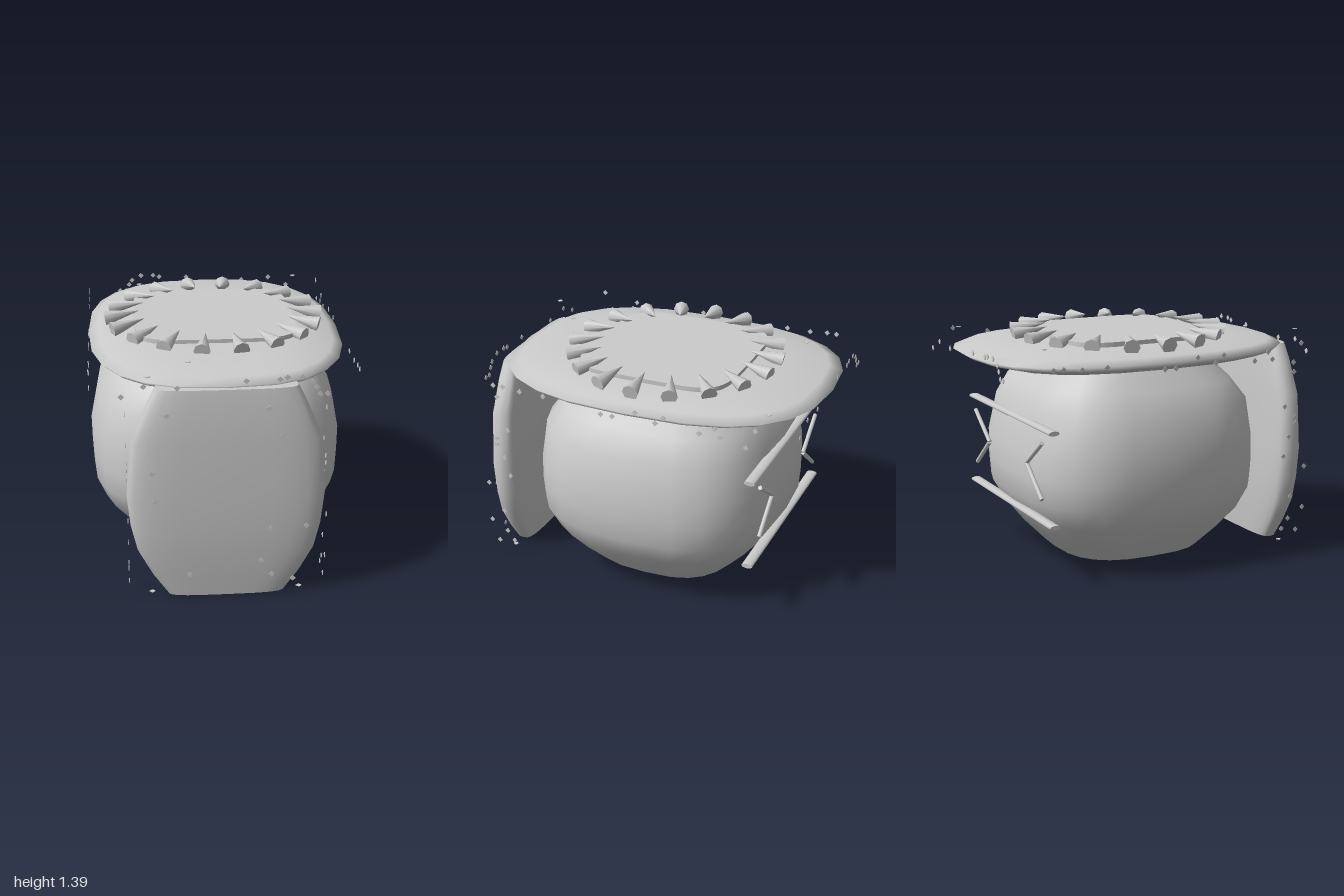
import * as THREE from 'three';

const grey = new THREE.MeshStandardMaterial({ color: 0xcccccc, side: THREE.DoubleSide });

function add(parent, name, geometry, x = 0, y = 0, z = 0) {
  const mesh = new THREE.Mesh(geometry, grey);
  mesh.name = name;
  mesh.position.set(x, y, z);
  parent.add(mesh);
  return mesh;
}

// Skin over superellipse rings [y, half width, back z, front z], with flat caps
function loft(rings, power, sides = 24) {
  const pos = [], index = [];
  const ringPoints = ([y, rx, z0, z1]) => {
    for (let j = 0; j < sides; j++) {
      const a = (j / sides) * Math.PI * 2, c = Math.cos(a), s = Math.sin(a);
      const x = Math.sign(c) * Math.abs(c) ** (2 / power);
      const z = Math.sign(s) * Math.abs(s) ** (2 / power);
      pos.push(x * rx, y, (z0 + z1) / 2 + (z * (z1 - z0)) / 2);
    }
  };
  rings.forEach(ringPoints);
  for (let i = 0; i < rings.length - 1; i++) {
    for (let j = 0; j < sides; j++) {
      const a = i * sides + j, b = i * sides + (j + 1) % sides;
      index.push(a, a + sides, b, b, a + sides, b + sides);
    }
  }
  // caps have their own vertices, so their edges stay sharp
  for (const [ring, top] of [[rings[0], false], [rings[rings.length - 1], true]]) {
    const start = pos.length / 3;
    ringPoints(ring);
    const centre = pos.length / 3;
    pos.push(0, ring[0], (ring[2] + ring[3]) / 2);
    for (let j = 0; j < sides; j++) {
      const a = start + j, b = start + (j + 1) % sides;
      index.push(centre, top ? b : a, top ? a : b);
    }
  }
  const g = new THREE.BufferGeometry();
  g.setAttribute('position', new THREE.Float32BufferAttribute(pos, 3));
  g.setIndex(index);
  g.computeVertexNormals();
  return g;
}

// Straight bar between two points
function bar(parent, name, from, to, radius, depth = 1) {
  const a = new THREE.Vector3(...from), b = new THREE.Vector3(...to);
  const d = b.clone().sub(a);
  const g = new THREE.CylinderGeometry(radius, radius, d.length(), 8);
  g.scale(1, 1, depth);
  const mid = a.add(b).multiplyScalar(0.5);
  add(parent, name, g, mid.x, mid.y, mid.z).rotation.z = Math.atan2(-d.x, d.y);
}

export function createModel() {
  const model = new THREE.Group();

  // Rounded pot-like body
  add(model, 'body', loft([
    [0.045, 0.45, -0.46, 0.43], [0.17, 0.57, -0.58, 0.55], [0.3, 0.68, -0.68, 0.65],
    [0.43, 0.735, -0.755, 0.72], [0.57, 0.742, -0.765, 0.73], [0.72, 0.745, -0.763, 0.725],
    [0.95, 0.7, -0.715, 0.695], [1.08, 0.61, -0.65, 0.6], [1.2, 0.52, -0.54, 0.47],
  ], 2.8));

  // Wide top rim
  add(model, 'topRim', loft([
    [1.175, 0.45, -0.58, 0.6], [1.2, 0.6, -0.82, 0.8], [1.235, 0.71, -0.95, 0.92],
    [1.265, 0.743, -1, 0.955], [1.295, 0.69, -0.92, 0.89], [1.325, 0.55, -0.68, 0.68],
    [1.335, 0.45, -0.5, 0.5],
  ], 2.7));

  // Upright slab in front
  add(model, 'frontSlab', loft([
    [0, 0.33, 0.84, 0.96], [0.13, 0.42, 0.825, 0.975], [0.28, 0.5, 0.81, 0.99],
    [0.43, 0.535, 0.803, 0.997], [0.62, 0.555, 0.8, 1], [0.95, 0.525, 0.805, 0.995],
    [1.15, 0.44, 0.815, 0.98], [1.25, 0.39, 0.825, 0.965],
  ], 3.6));

  // Flat plate inside the ring of teeth
  add(model, 'mouthPlate', loft([[1.31, 0.475, -0.5, 0.455], [1.357, 0.475, -0.5, 0.455]], 5, 32));

  // Teeth pointing inwards
  const teeth = new THREE.Group();
  teeth.name = 'teeth';
  teeth.position.z = -0.025;
  model.add(teeth);
  const cone = new THREE.ConeGeometry(0.048, 0.21, 8).rotateZ(Math.PI / 2 - 0.2);
  for (let i = 0; i < 18; i++) {
    const a = (i / 18) * Math.PI * 2;
    add(teeth, 'tooth', cone, Math.cos(a) * 0.54, 1.363, Math.sin(a) * 0.54).rotation.y = -a;
  }

  // Rods and chevrons on the back
  for (const y of [0.9, 0.36]) bar(model, 'backRod', [-0.6, y, -0.725], [0.6, y, -0.725], 0.014, 2.4);
  for (const s of [-1, 1]) {
    bar(model, 'chevronUpper', [s * 0.5, 0.83, -0.755], [s * 0.28, 0.67, -0.755], 0.013);
    bar(model, 'chevronLower', [s * 0.28, 0.67, -0.755], [s * 0.49, 0.5, -0.755], 0.013);
  }

  // Small flat flecks hovering around the slab and rim
  const flecks = new THREE.Group();
  flecks.name = 'flecks';
  model.add(flecks);
  const chip = new THREE.CylinderGeometry(0.017, 0.017, 0.004, 4);
  const chipZ = chip.clone().rotateX(Math.PI / 2), chipX = chip.clone().rotateZ(Math.PI / 2);

  const slabFace = [[-0.33, 1.125], [0.22, 1.15], [0.3, 0.99], [-0.415, 0.785], [-0.4, 0.615], [0.44, 0.44],
    [0.24, 0.43], [0.19, 0.23], [-0.21, 0.155], [0.25, 0.14], [0.37, 0.11]];
  const rimFace = [[-0.57, 1.225], [-0.45, 1.28], [-0.27, 1.265], [0.1, 1.295], [0.28, 1.3], [0.32, 1.31],
    [0.4, 1.31], [0.46, 1.28], [0.48, 1.25], [0.5, 1.21], [0.54, 1.21]];
  const slabSide = [[0.89, 1.1], [0.83, 0.89], [0.91, 0.82], [0.915, 0.78], [0.865, 0.7], [0.83, 0.58],
    [0.985, 0.5], [0.89, 0.32], [0.98, 0.24], [0.875, 0.18], [0.935, 0.1], [0.83, 0.12]];
  const rimSide = [[0.79, 1.28], [0.73, 1.28], [0.62, 1.27], [0.47, 1.27], [0.11, 1.23], [0.04, 1.23],
    [-0.1, 1.28], [-0.22, 1.24], [-0.27, 1.28], [-0.48, 1.23], [-0.57, 1.275], [-0.6, 1.23],
    [-0.75, 1.2], [-0.8, 1.31]];
  const rimTop = [[-0.42, -0.7], [0.59, -0.82], [-0.2, 0.76], [-0.43, 0.97]];

  for (const [x, y] of slabFace) add(flecks, 'fleck', chipZ, x, y, 0.998);
  for (const [x, y] of rimFace) {
    add(flecks, 'fleck', chipZ, x, y, 0.96);
    add(flecks, 'fleck', chipZ, -x, y, -0.995);
  }
  for (const s of [-1, 1]) {
    for (const [z, y] of slabSide) add(flecks, 'fleck', chipX, s * 0.55, y, z);
    for (const [z, y] of rimSide) add(flecks, 'fleck', chipX, s * 0.742, y, s * z);
  }
  for (const [x, z] of rimTop) add(flecks, 'fleck', chip, x, 1.34, z);
  for (const x of [-0.42, 0.24, 0.42]) add(flecks, 'fleck', chip, x, 0.005, 0.9);

  return model;
}
